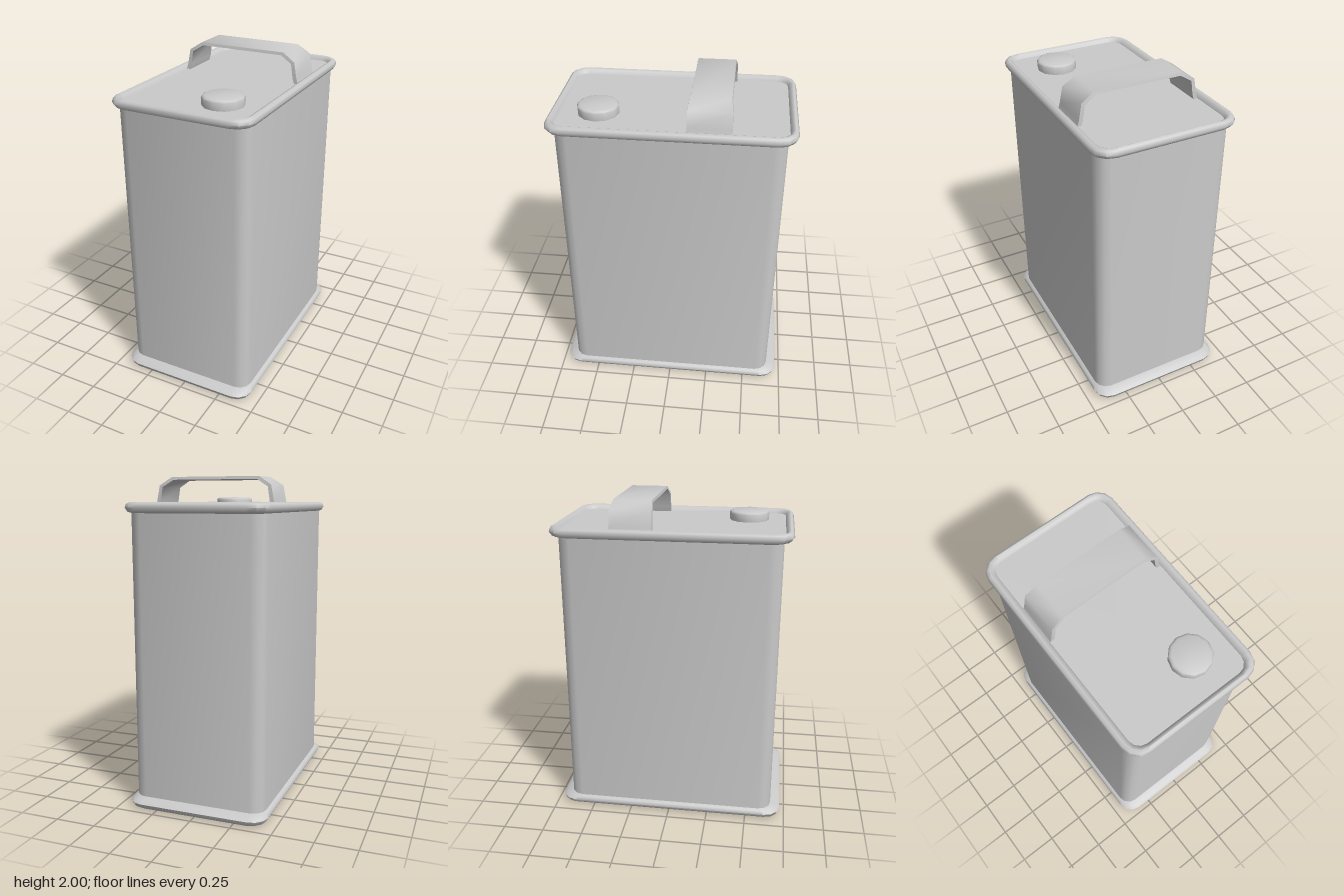
import * as THREE from 'three';
import { toCreasedNormals } from 'three/addons/utils/BufferGeometryUtils.js';

const SEG = 3; // segments per rounded corner
const LID_Y = 1.822;

// One rounded-rectangle cross-section: half width, half depth, corner radius, height
function ring([hx, hz, r, y]) {
  const pts = [];
  [[1, 1], [-1, 1], [-1, -1], [1, -1]].forEach(([sx, sz], q) => {
    for (let i = 0; i <= SEG; i++) {
      const a = (q + i / SEG) * Math.PI / 2;
      pts.push([sx * (hx - r) + r * Math.cos(a), y, sz * (hz - r) + r * Math.sin(a)]);
    }
  });
  return pts;
}

// Skin a stack of cross-sections; a section of zero size closes the end
function loft(sections, crease = 0.7) {
  const rings = sections.map(ring);
  const n = rings[0].length;
  const pos = [];
  for (let j = 0; j < rings.length - 1; j++) {
    for (let i = 0; i < n; i++) {
      const k = (i + 1) % n;
      const a = rings[j][i], b = rings[j][k], c = rings[j + 1][i], d = rings[j + 1][k];
      if (sections[j][0] > 0) pos.push(...a, ...c, ...b);
      if (sections[j + 1][0] > 0) pos.push(...b, ...c, ...d);
    }
  }
  const g = new THREE.BufferGeometry();
  g.setAttribute('position', new THREE.Float32BufferAttribute(pos, 3));
  return toCreasedNormals(g, crease);
}

export function createModel() {
  const metal = new THREE.MeshStandardMaterial({ color: 0xcacaca });
  metal.name = 'grey metal';
  const model = new THREE.Group();
  model.name = 'metalCan';
  const add = (name, geometry) => {
    const mesh = new THREE.Mesh(geometry, metal);
    mesh.name = name;
    model.add(mesh);
    return mesh;
  };

  // Tall body with rounded corners
  add('body', loft([[0.416, 0.66, 0.08, 0.05], [0.416, 0.66, 0.08, 1.81]]));

  // Shallow dished base
  add('base', loft([
    [0, 0, 0, 0.034],
    [0.28, 0.56, 0.06, 0.03],
    [0.36, 0.64, 0.07, 0.014],
    [0.41, 0.69, 0.08, 0],
  ]));

  // Rolled bottom rim
  add('bottomRim', loft([
    [0.41, 0.69, 0.08, 0],
    [0.43, 0.71, 0.09, 0.013],
    [0.443, 0.72, 0.1, 0.037],
    [0.432, 0.7, 0.095, 0.055],
    [0.41, 0.655, 0.08, 0.067],
  ], 1.1));

  // Rolled top rim, rounding over to the lid inside
  add('topRim', loft([
    [0.41, 0.655, 0.08, 1.788],
    [0.427, 0.7, 0.1, 1.796],
    [0.441, 0.717, 0.11, 1.82],
    [0.432, 0.707, 0.1, 1.842],
    [0.415, 0.693, 0.09, 1.851],
    [0.396, 0.678, 0.08, 1.842],
    [0.385, 0.667, 0.07, LID_Y],
  ], 1.1));

  // Recessed lid
  add('lid', loft([[0.386, 0.668, 0.07, LID_Y], [0, 0, 0, LID_Y]]));

  // Low twelve-sided screw cap with straight sides and a softened top edge
  const capProfile = [[0.122, LID_Y], [0.124, 1.866], [0.119, 1.876], [0.106, 1.881], [0, 1.883]];
  const cap = add('cap', toCreasedNormals(
    new THREE.LatheGeometry(capProfile.map(([x, y]) => new THREE.Vector2(x, y)), 12), 0.9));
  cap.position.set(0.16, 0, 0.437);

  // Bent strap handle, a little narrower across the grip
  const outer = [[0.383, LID_Y], [0.373, 1.855], [0.355, 1.95], [0.277, 2.0]];
  const inner = [[0.265, 1.983], [0.335, 1.94], [0.348, 1.855], [0.358, LID_Y]];
  const flip = (p) => p.map(([x, y]) => [-x, y]).reverse();
  const outline = [...outer, ...flip(outer), ...flip(inner), ...inner];
  const strap = new THREE.ExtrudeGeometry(
    new THREE.Shape(outline.map(([x, y]) => new THREE.Vector2(x, y))),
    { depth: 2, bevelEnabled: false });
  const p = strap.attributes.position;
  for (let i = 0; i < p.count; i++) {
    const half = 0.115 + 0.012 * Math.min(1, (2 - p.getY(i)) / 0.06);
    p.setZ(i, -0.222 + (p.getZ(i) - 1) * half);
  }
  add('handle', toCreasedNormals(strap, 0.9));

  return model;
}
